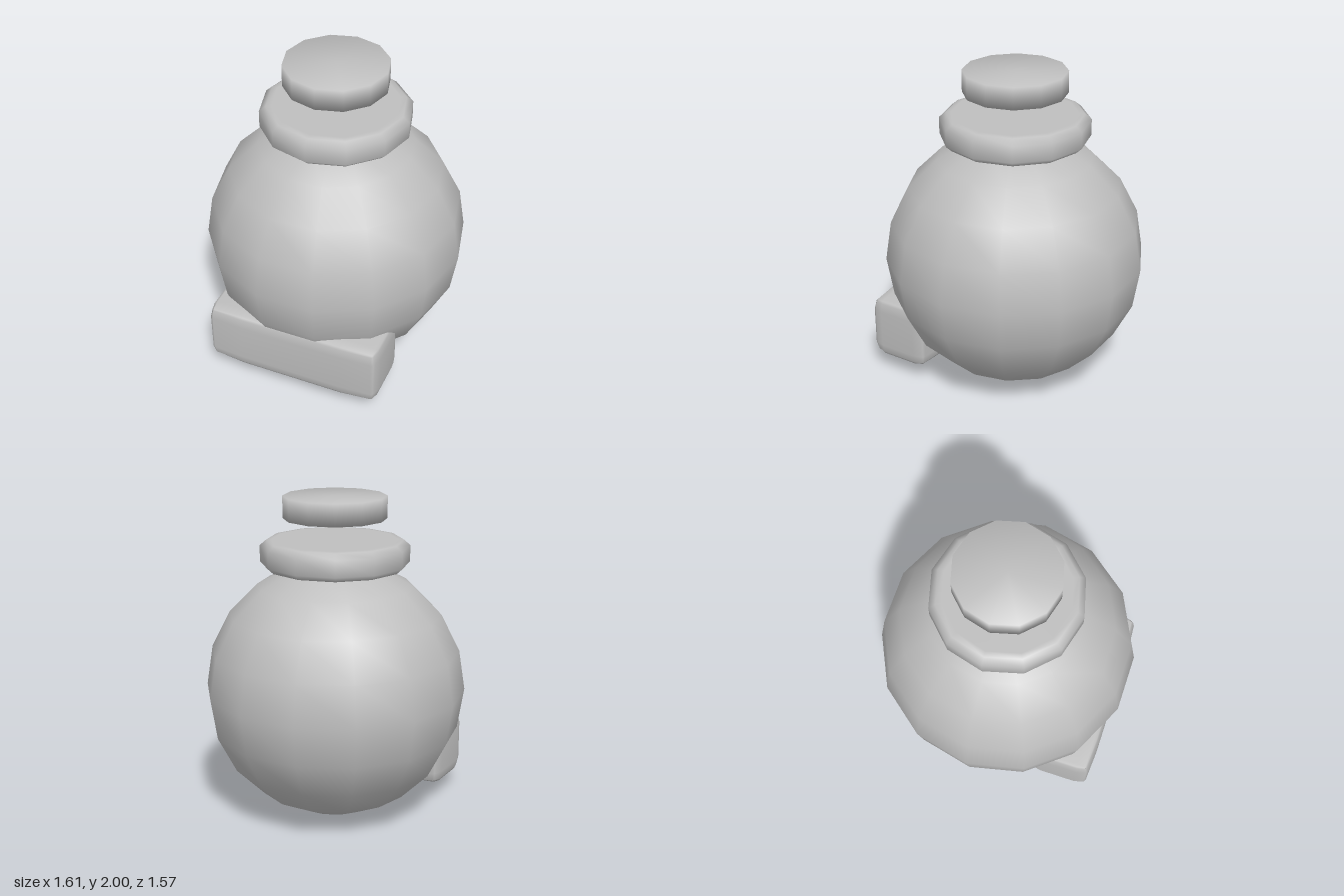
import * as THREE from 'three';
import { mergeVertices } from 'three/addons/utils/BufferGeometryUtils.js';

const grey = new THREE.MeshStandardMaterial({ color: 0xbfbfbf });
grey.name = 'plain grey';

function part(name, geometry) {
  const mesh = new THREE.Mesh(geometry, grey);
  mesh.name = name;
  return mesh;
}

// Twelve-sided turned part from [radius, height] points, bottom to top
function turned(name, points) {
  return part(name, new THREE.LatheGeometry(points.map(([r, y]) => new THREE.Vector2(r, y)), 12));
}

// Box with soft edges and slightly bulging faces
function softBox(hx, hy, hz) {
  const half = [hx, hy, hz];
  const inset = [0, 0.013, 0.02];
  let g = new THREE.BoxGeometry(2, 2, 2, 5, 5, 5);
  g.deleteAttribute('normal');
  g.deleteAttribute('uv');
  g = mergeVertices(g);
  const p = g.attributes.position;
  for (let i = 0; i < p.count; i++) {
    const v = [p.getX(i), p.getY(i), p.getZ(i)];
    // 0 = middle of a face, 1 = near an edge, 2 = outermost
    const level = v.map((c) => Math.round((Math.abs(c) - 0.2) / 0.4));
    const q = v.map((c, a) => {
      let d = [half[a] * 0.58, half[a] - 0.035, half[a]][level[a]];
      if (level[a] === 2) {
        for (let b = 0; b < 3; b++) if (b !== a) d -= inset[level[b]];
      }
      return Math.sign(c) * d;
    });
    p.setXYZ(i, ...q);
  }
  g.computeVertexNormals();
  return g;
}

export function createModel() {
  const model = new THREE.Group();
  model.name = 'roundFlask';

  // Round body
  const body = part('body', new THREE.SphereGeometry(0.805, 14, 10));
  body.position.y = 0.805;
  model.add(body);

  // Bevelled collar on top of the body
  model.add(turned('collar', [
    [0, 1.565], [0.39, 1.565], [0.42, 1.568], [0.455, 1.6],
    [0.455, 1.7], [0.415, 1.734], [0.38, 1.737], [0, 1.737],
  ]));

  // Floating lid with softly shaded rims
  model.add(turned('lid', [[0, 1.865], [0.315, 1.865], [0.315, 2], [0, 2]]));

  // Block set into the lower front
  const block = part('frontBlock', softBox(0.56, 0.21, 0.205));
  block.position.set(0, 0.32, 0.53);
  model.add(block);

  return model;
}
